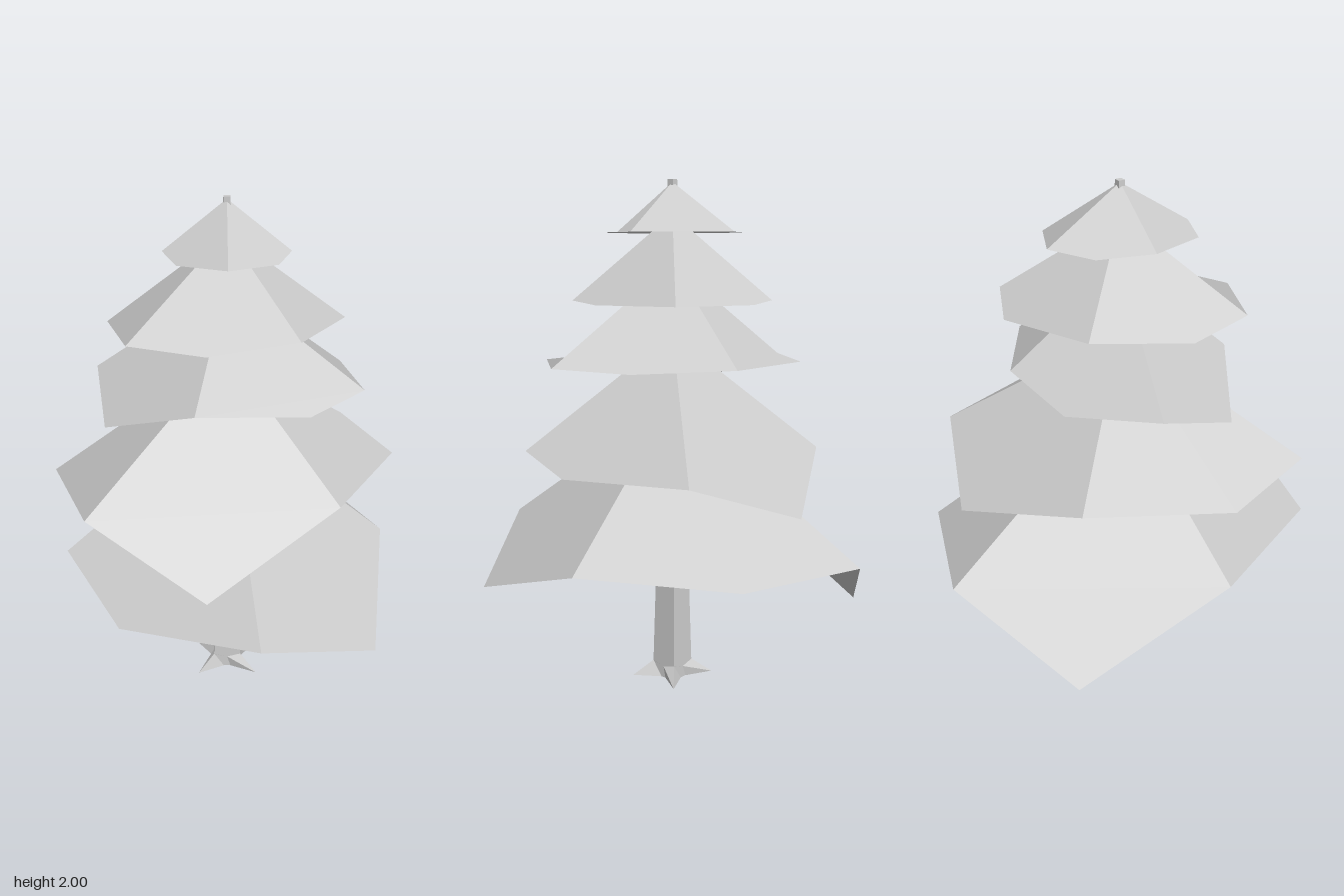
import * as THREE from 'three';

const grey = new THREE.MeshStandardMaterial({ color: 0xcccccc, side: THREE.DoubleSide });
grey.name = 'lightGrey';

// Each tier: apex height, rim height, half of the rim as [x, z] (corner, middle, corner, middle;
// the other half is the same turned by 180 degrees), and rim points that droop to another height
const TIERS = [
  { apex: 1.99, rim: 1.8, half: [[0.24, 0], [0.18, 0.21], [0, 0.3], [-0.18, 0.22]], droop: {} },
  { apex: 1.87, rim: 1.54, half: [[0.26, 0.29], [-0.075, 0.445], [-0.36, 0.32], [-0.45, 0.02]], droop: {} },
  { apex: 1.685, rim: 1.305, half: [[0.515, 0.145], [0.29, 0.41], [-0.12, 0.41], [-0.46, 0.195]], droop: { 3: 1.18 } },
  { apex: 1.41, rim: 0.95, half: [[0.41, 0.415], [-0.08, 0.67], [-0.515, 0.51], [-0.675, 0.07]], droop: { 1: 0.7, 5: 0.79 } },
  { apex: 1.147, rim: 0.59, half: [[0.65, -0.085], [0.553, 0.525], [0.107, 0.807], [-0.395, 0.65]], droop: { 1: 0.4, 5: 0.3 } },
];

function geometryFrom(points, normals) {
  const g = new THREE.BufferGeometry().setFromPoints(points);
  if (normals) g.setAttribute('normal', new THREE.Float32BufferAttribute(normals, 3));
  else g.computeVertexNormals();
  return g;
}

// Four kite-shaped faces around an apex, each with one flat normal
function tierGeometry({ apex, rim, half, droop }) {
  const top = new THREE.Vector3(0, apex, 0);
  const ring = [...half, ...half.map(([x, z]) => [-x, -z])]
    .map(([x, z], i) => new THREE.Vector3(x, droop[i] ?? rim, z));
  const points = [], normals = [];
  for (let q = 0; q < 4; q++) {
    const a = ring[q * 2], b = ring[q * 2 + 1], c = ring[(q * 2 + 2) % 8];
    // alternate faces fold across the kite or along its length
    points.push(...(q % 2 === 0 ? [top, c, a, c, b, a] : [top, c, b, top, b, a]));
    const n = b.clone().sub(top).cross(a.clone().sub(c)).normalize();
    for (let i = 0; i < 6; i++) normals.push(n.x, n.y, n.z);
  }
  return geometryFrom(points, normals);
}

// Tapered square trunk
function trunkGeometry() {
  const g = new THREE.BoxGeometry(1, 2, 1).translate(0, 1, 0);
  const p = g.attributes.position;
  for (let i = 0; i < p.count; i++) {
    const w = p.getY(i) > 1 ? 0.026 : 0.114;
    p.setX(i, p.getX(i) * w);
    p.setZ(i, p.getZ(i) * w);
  }
  g.computeVertexNormals();
  return g;
}

// Four pointed roots spreading from the trunk corners
function rootsGeometry() {
  const low = [], high = [];
  for (let i = 0; i < 8; i++) {
    const t = i * Math.PI / 4, tip = i % 2 === 1;
    const sx = Math.round(Math.cos(t)), sz = Math.round(Math.sin(t));
    low.push(new THREE.Vector3(sx * (tip ? 0.122 : 0.05), 0, sz * (tip ? 0.11 : 0.05)));
    high.push(new THREE.Vector3(sx * 0.056, tip ? 0.06 : 0.045, sz * 0.056));
  }
  const points = [], centre = new THREE.Vector3();
  for (let i = 0; i < 8; i++) {
    const j = (i + 1) % 8;
    points.push(low[i], high[i], high[j], low[i], high[j], low[j], centre, low[i], low[j]);
  }
  return geometryFrom(points);
}

export function createModel() {
  const tree = new THREE.Group();
  tree.name = 'tree';
  const add = (name, geometry) => {
    const mesh = new THREE.Mesh(geometry, grey);
    mesh.name = name;
    tree.add(mesh);
  };
  add('trunk', trunkGeometry());
  add('roots', rootsGeometry());
  TIERS.forEach((tier, i) => add('branchTier' + (i + 1), tierGeometry(tier)));
  return tree;
}
